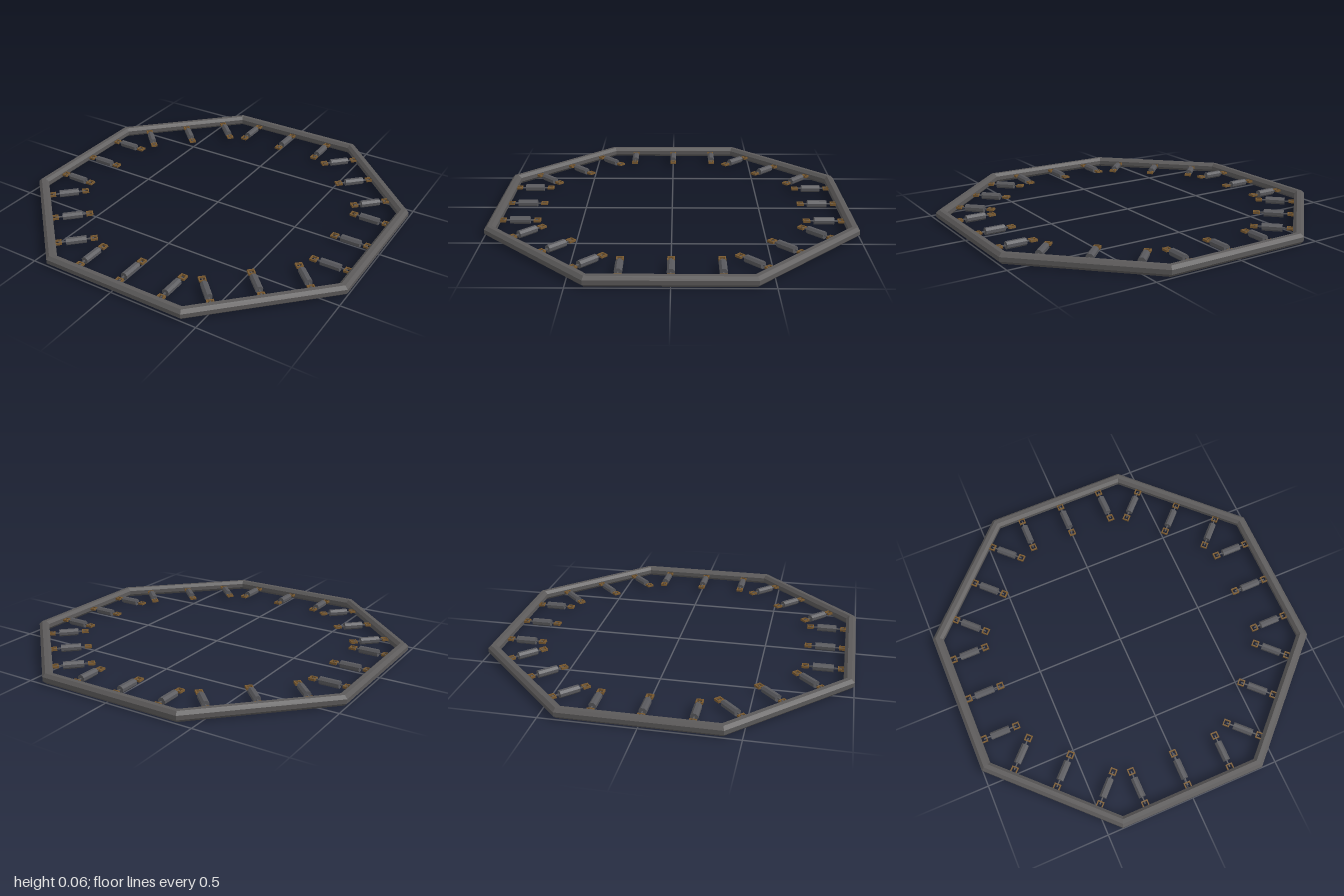
import * as THREE from 'three';

const flat = (g) => {
  const f = g.toNonIndexed();
  f.computeVertexNormals();
  return f;
};

export function createModel() {
  const model = new THREE.Group();
  model.name = 'octagonalSpringFrame';

  const steel = new THREE.MeshStandardMaterial({ color: 0x5c5a5a });
  steel.name = 'frame steel';
  const coil = new THREE.MeshStandardMaterial({ color: 0x58585c });
  coil.name = 'spring grey';
  const brass = new THREE.MeshStandardMaterial({ color: 0x7a5a30 });
  brass.name = 'hook brown';

  const tube = 0.028; // half thickness of the rail
  const midY = tube;

  // Rail: octagonal section swept round eight mitred sides
  const profile = [];
  for (let i = 0; i <= 8; i++) {
    const a = Math.PI / 8 + (i * Math.PI) / 4;
    const r = tube / Math.cos(Math.PI / 8);
    profile.push(new THREE.Vector2(
      (1 - tube + r * Math.cos(a)) / Math.cos(Math.PI / 8),
      midY + r * Math.sin(a)
    ));
  }
  const rail = new THREE.Mesh(flat(new THREE.LatheGeometry(profile, 8, Math.PI / 8)), steel);
  rail.name = 'rail';
  model.add(rail);

  // Shared spring parts, lying along z
  const bodyGeo = flat(new THREE.CylinderGeometry(0.021, 0.021, 0.11, 8)
    .rotateY(Math.PI / 8).rotateX(Math.PI / 2));
  const rodGeo = new THREE.BoxGeometry(0.007, 0.007, 0.19);

  // Hook: square ring lying flat
  const square = (s) => [[-s, -s], [s, -s], [s, s], [-s, s]].map(([x, y]) => new THREE.Vector2(x, y));
  const ring = new THREE.Shape(square(0.019));
  ring.holes.push(new THREE.Path(square(0.0125).reverse()));
  const hookGeo = new THREE.ExtrudeGeometry(ring, { depth: 0.012, bevelEnabled: false })
    .translate(0, 0, -0.006).rotateX(Math.PI / 2);

  const addPart = (parent, geo, mat, name, z) => {
    const mesh = new THREE.Mesh(geo, mat);
    mesh.name = name;
    mesh.position.z = z;
    parent.add(mesh);
  };

  // Three springs on each of the eight sides
  for (let side = 0; side < 8; side++) {
    const group = new THREE.Group();
    group.name = 'springSet';
    group.rotation.y = (side * Math.PI) / 4;
    for (const x of [-0.253, 0, 0.253]) {
      const spring = new THREE.Group();
      spring.name = 'spring';
      spring.position.set(x, midY, 0);
      addPart(spring, bodyGeo, coil, 'springCoil', 0.835);
      addPart(spring, rodGeo, coil, 'springRod', 0.835);
      addPart(spring, hookGeo, brass, 'innerHook', 0.74);
      addPart(spring, hookGeo, brass, 'outerHook', 0.931);
      group.add(spring);
    }
    model.add(group);
  }
  return model;
}
